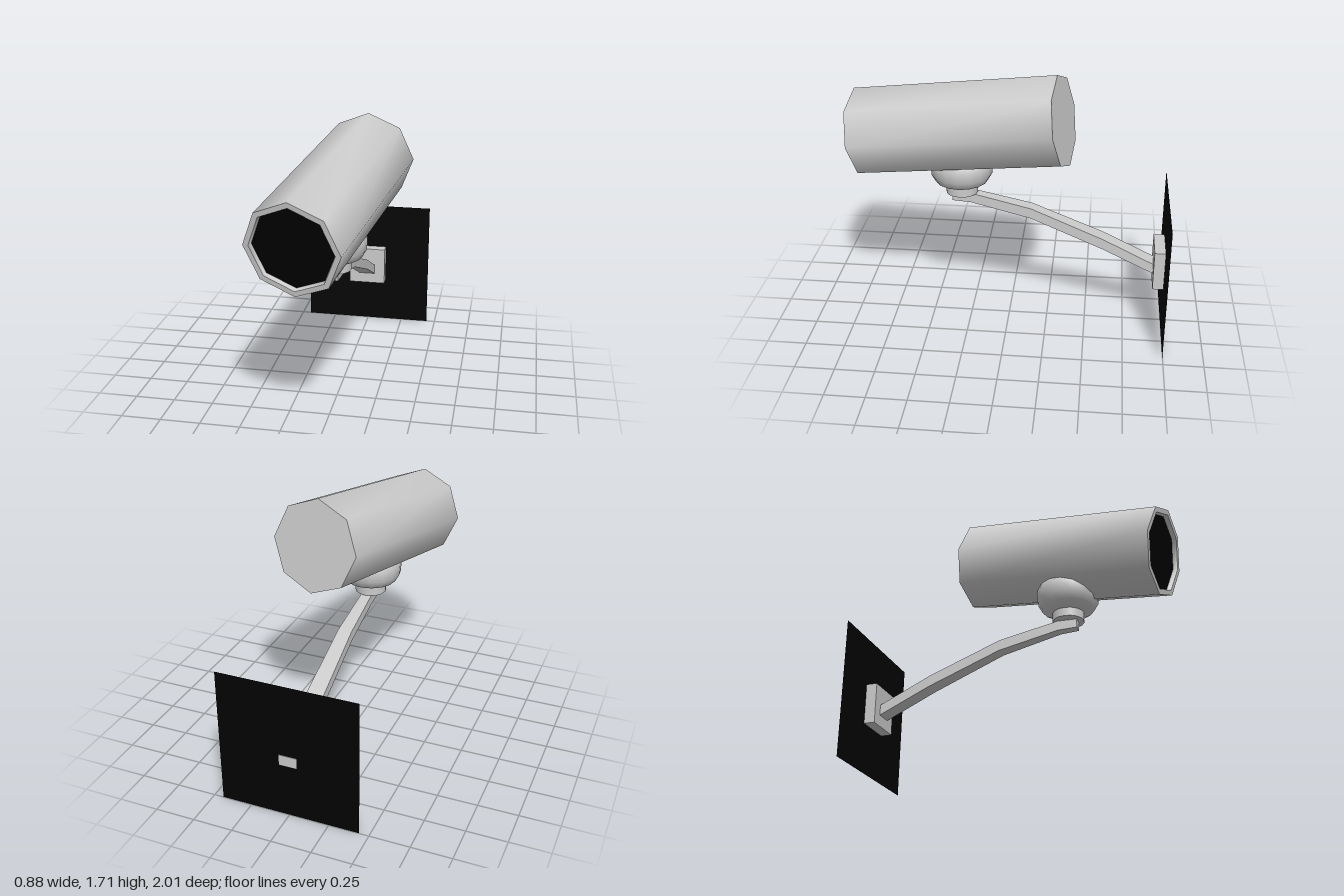
import * as THREE from 'three';
import { toCreasedNormals } from 'three/addons/utils/BufferGeometryUtils.js';

const grey = new THREE.MeshStandardMaterial({ color: 0xcccccc });
const lensBlack = new THREE.MeshStandardMaterial({ color: 0x000000 });
const plateBlack = new THREE.MeshStandardMaterial({ color: 0x030303, side: THREE.DoubleSide });

function part(name, geometry, material = grey) {
  const mesh = new THREE.Mesh(geometry, material);
  mesh.name = name;
  return mesh;
}

function lathe(points, sides) {
  const profile = points.map(([r, y]) => new THREE.Vector2(r, y));
  return toCreasedNormals(new THREE.LatheGeometry(profile, sides), 0.9);
}

// Rectangular bar lofted through sections [z, bottom, top, halfWidth]
function loftedBar(sections) {
  const pos = [], index = [];
  for (const [z, y0, y1, w] of sections) pos.push(-w, y0, z, w, y0, z, w, y1, z, -w, y1, z);
  const n = sections.length;
  for (let i = 0; i < n - 1; i++) {
    for (let k = 0; k < 4; k++) {
      const a = i * 4 + k, b = i * 4 + (k + 1) % 4;
      index.push(a, a + 4, b, b, a + 4, b + 4);
    }
  }
  const e = (n - 1) * 4;
  index.push(0, 1, 2, 0, 2, 3, e, e + 2, e + 1, e, e + 3, e + 2);
  const g = new THREE.BufferGeometry();
  g.setAttribute('position', new THREE.Float32BufferAttribute(pos, 3));
  g.setIndex(index);
  return toCreasedNormals(g, 0.6);
}

export function createModel() {
  const model = new THREE.Group();
  model.name = 'securityCamera';

  // Octagonal camera head, aimed down and to one side
  const front = new THREE.Vector3(-0.115, 1.22, 0.94);
  const back = new THREE.Vector3(0.11, 1.428, -0.335);
  const half = front.distanceTo(back) / 2;
  const R = 0.287;
  const head = new THREE.Group();
  head.name = 'cameraHead';
  const housing = lathe([
    [0, -half], [R, -half], [R, half], [0.253, half], [0.245, half - 0.03], [0.23, half - 0.03],
  ], 8).rotateX(Math.PI / 2);
  head.add(part('housing', housing));
  const lens = part('lens', new THREE.CircleGeometry(0.246, 8), lensBlack);
  lens.position.z = half - 0.028;
  head.add(lens);
  head.position.copy(front).add(back).multiplyScalar(0.5);
  head.lookAt(front);
  model.add(head);

  // Rounded swivel cup sunk into the underside of the head, on a short neck
  const swivel = part('swivel', lathe([
    [0, 0.935], [0.1, 0.94], [0.165, 0.97], [0.193, 1.02], [0.197, 1.08], [0.18, 1.14], [0.12, 1.19], [0, 1.2],
  ], 16));
  const neck = part('neck', new THREE.CylinderGeometry(0.1, 0.1, 0.06, 16));
  neck.position.y = 0.915;
  for (const m of [swivel, neck]) {
    m.position.z = 0.3;
    model.add(m);
  }

  // Bent arm widening towards the wall
  model.add(part('arm', loftedBar([
    [0.36, 0.83, 0.886, 0.03],
    [0.24, 0.823, 0.886, 0.034],
    [-0.14, 0.732, 0.8, 0.044],
    [-0.6, 0.54, 0.61, 0.054],
    [-0.92, 0.385, 0.452, 0.056],
    [-1, 0.347, 0.415, 0.056],
  ])));

  // Wall bracket and backing plate
  const bracket = part('wallBracket', new THREE.BoxGeometry(0.256, 0.26, 0.07));
  bracket.position.set(0, 0.44, -0.96);
  const plate = part('backPlate', new THREE.PlaneGeometry(0.88, 0.88), plateBlack);
  plate.position.set(0, 0.44, -0.998);
  model.add(bracket, plate);

  return model;
}
